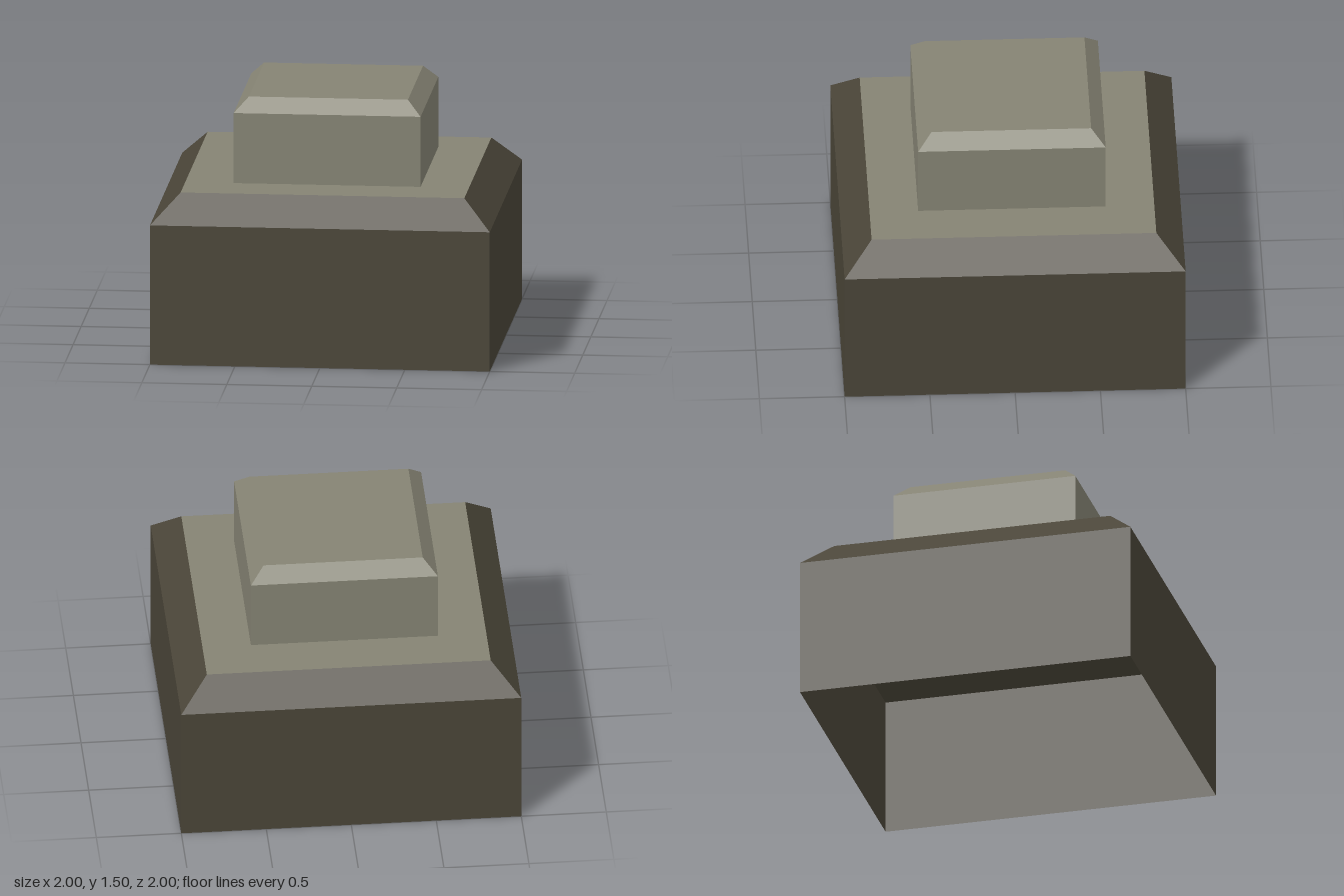
import * as THREE from 'three';

const stone = new THREE.MeshStandardMaterial({ name: 'greyStone', color: 0x858373, side: THREE.DoubleSide, flatShading: true });
const earth = new THREE.MeshStandardMaterial({ name: 'darkBrown', color: 0x4a4538, side: THREE.DoubleSide, flatShading: true });

// Square shell swept from [halfWidth, height] pairs, open at both ends
function squareShell(name, profile, material) {
  const points = profile.map(([half, y]) => new THREE.Vector2(half * Math.SQRT2, y));
  const geometry = new THREE.LatheGeometry(points, 4, Math.PI / 4).toNonIndexed();
  geometry.computeVertexNormals();
  const mesh = new THREE.Mesh(geometry, material);
  mesh.name = name;
  return mesh;
}

// Flat square facing up
function squarePanel(name, half, y, material) {
  const geometry = new THREE.PlaneGeometry(half * 2, half * 2).rotateX(-Math.PI / 2).translate(0, y, 0);
  const mesh = new THREE.Mesh(geometry, material);
  mesh.name = name;
  return mesh;
}

export function createModel() {
  const model = new THREE.Group();
  model.name = 'steppedBlock';
  model.add(
    // Hollow base with sloped shoulders, open underneath
    squareShell('base', [[1, 0], [1, 0.835], [0.835, 1]], earth),
    squarePanel('deck', 0.835, 1, stone),
    // Raised block with a bevelled rim
    squareShell('upperBlock', [[0.55, 1], [0.55, 1.42], [0.468, 1.503]], stone),
    squarePanel('upperBlockTop', 0.468, 1.503, stone),
  );
  return model;
}
